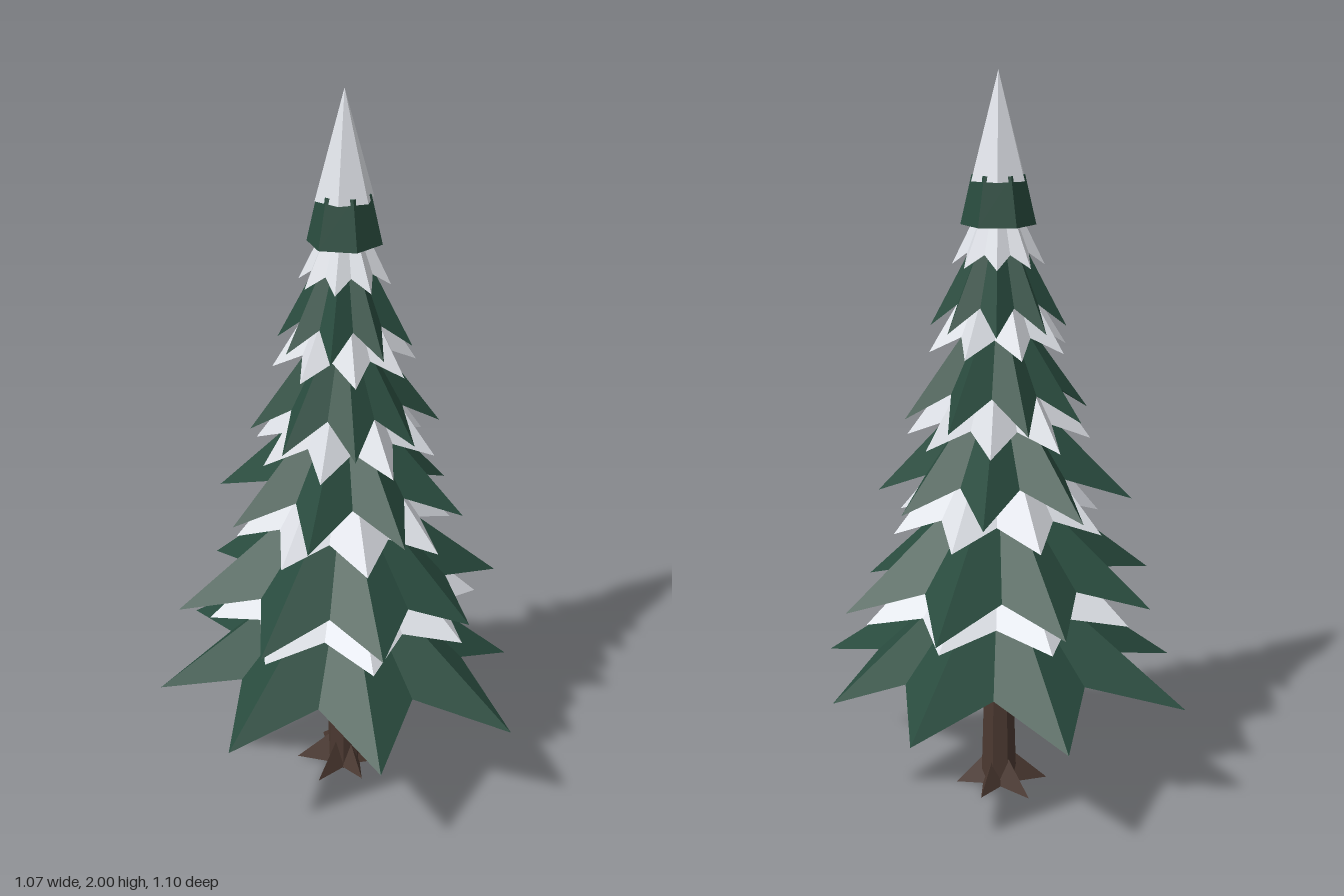
import * as THREE from 'three';

const DEG = Math.PI / 180;

// Star-shaped skirt: ridges run from the apex to drooping tips, valleys lie between them.
// tipR and tipY are one number, or a list with one value per tip. The underside is hollow.
function starSkirt({ points = 8, phase, tipR, tipY, valleyR, valleyY, apexY, hollowY }) {
  const at = (v, i) => (Array.isArray(v) ? v[i] : v);
  const rim = [];
  for (let i = 0; i < points; i++) {
    const a = phase * DEG + (i * 2 * Math.PI) / points;
    const b = a + Math.PI / points;
    const r = at(tipR, i);
    rim.push([Math.cos(a) * r, at(tipY, i), Math.sin(a) * r]);
    rim.push([Math.cos(b) * valleyR, valleyY, Math.sin(b) * valleyR]);
  }
  const pos = [];
  rim.forEach((p, i) => {
    const q = rim[(i + 1) % rim.length];
    pos.push(0, apexY, 0, ...q, ...p);
    pos.push(0, hollowY, 0, ...p, ...q);
  });
  const geo = new THREE.BufferGeometry();
  geo.setAttribute('position', new THREE.Float32BufferAttribute(pos, 3));
  geo.computeVertexNormals();
  return geo;
}

export function createModel() {
  const group = new THREE.Group();
  const material = (name, color) => {
    const m = new THREE.MeshStandardMaterial({ color });
    m.name = name;
    m.flatShading = true;
    return m;
  };
  const needles = material('needleGreen', 0x294b3e);
  const snow = material('snowWhite', 0xe0e3e9);
  const bark = material('barkBrown', 0x4a3830);

  const add = (name, geo, mat, y = 0) => {
    const mesh = new THREE.Mesh(geo, mat);
    mesh.name = name;
    mesh.position.y = y;
    group.add(mesh);
    return mesh;
  };

  // Trunk with a slight taper and a flare of pointed roots
  add('trunk', new THREE.CylinderGeometry(0.037, 0.052, 0.5, 7), bark, 0.25);
  add('roots', starSkirt({
    points: 6, phase: -8, tipR: [0.122, 0.12, 0.115, 0.137, 0.14, 0.145], tipY: 0,
    valleyR: 0.055, valleyY: 0.005, apexY: 0.125, hollowY: 0.003,
  }), bark);

  // Branch tiers, bottom to top
  const tiers = [
    {
      phase: -7, tipR: [0.536, 0.484, 0.553, 0.52, 0.543, 0.534, 0.556, 0.516],
      tipY: [0.34, 0.315, 0.31, 0.315, 0.34, 0.315, 0.325, 0.315],
      valleyR: 0.34, valleyY: 0.4, apexY: 0.72, hollowY: 0.52,
    },
    {
      phase: -11, tipR: [0.45, 0.45, 0.395, 0.405, 0.435, 0.475, 0.44, 0.42], tipY: 0.585,
      valleyR: 0.285, valleyY: 0.65, apexY: 0.97, hollowY: 0.76,
    },
    {
      phase: 20, tipR: [0.325, 0.335, 0.33, 0.335, 0.34, 0.365, 0.355, 0.335], tipY: 0.865,
      valleyR: 0.205, valleyY: 0.935, apexY: 1.23, hollowY: 1.03,
    },
    {
      phase: -3, tipR: [0.27, 0.26, 0.235, 0.25, 0.26, 0.255, 0.25, 0.275], tipY: 1.095,
      valleyR: 0.16, valleyY: 1.17, apexY: 1.45, hollowY: 1.26,
    },
    { phase: 15, tipR: 0.182, tipY: 1.335, valleyR: 0.115, valleyY: 1.4, apexY: 1.68, hollowY: 1.49 },
  ];
  tiers.forEach((t, i) => add(`branchTier${i + 1}`, starSkirt(t), needles));

  // Snow skirts lying on each tier, below the next one
  const snows = [
    { phase: -8, tipR: 0.385, tipY: 0.535, valleyR: 0.28, valleyY: 0.575, apexY: 0.9, hollowY: 0.7 },
    { phase: -8, tipR: 0.303, tipY: 0.785, valleyR: 0.21, valleyY: 0.835, apexY: 1.15, hollowY: 0.95 },
    { phase: 18, tipR: 0.25, tipY: 1.03, valleyR: 0.16, valleyY: 1.08, apexY: 1.38, hollowY: 1.19 },
    { phase: -5, tipR: 0.193, tipY: 1.275, valleyR: 0.128, valleyY: 1.32, apexY: 1.58, hollowY: 1.41 },
    { phase: 15, tipR: 0.123, tipY: 1.5, valleyR: 0.087, valleyY: 1.535, apexY: 1.75, hollowY: 1.61 },
  ];
  snows.forEach((s, i) => add(`snowTier${i + 1}`, starSkirt(s), snow));

  // Plain six-sided collar and snowy peak, turned against each other
  add('topCollar', new THREE.CylinderGeometry(0.07, 0.1, 0.13, 6), needles, 1.67).rotation.y = Math.PI / 6;
  add('snowPeak', new THREE.ConeGeometry(0.08, 0.28, 6), snow, 1.86);

  return group;
}
